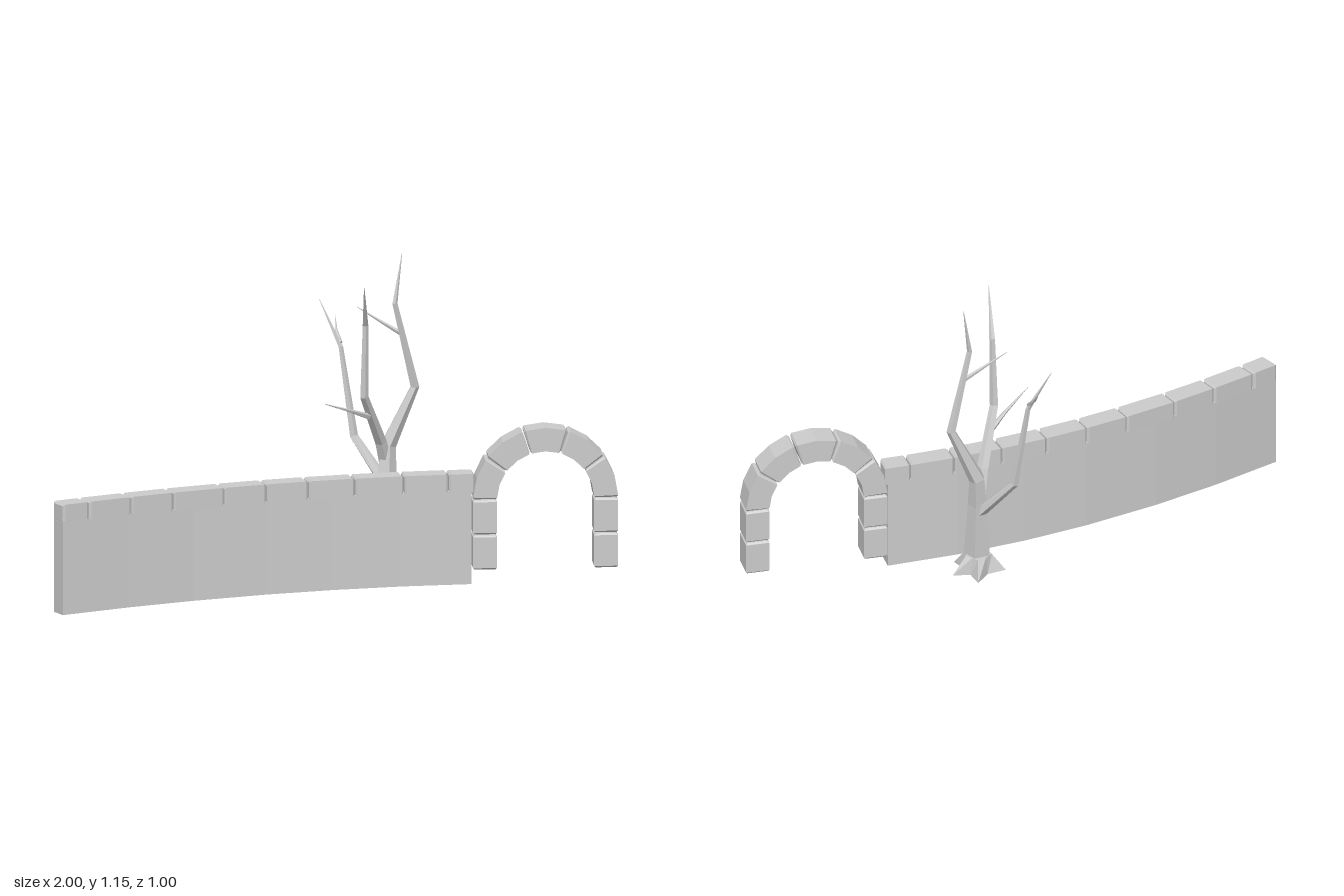
import * as THREE from 'three';

const V = (x, y, z) => new THREE.Vector3(x, y, z);
const UP = V(0, 1, 0);
const material = new THREE.MeshStandardMaterial({ color: 0xcccccc, flatShading: true });

// Skin a list of equal-sized rings and close both ends
function loft(name, rings) {
  const n = rings[0].length, index = [];
  const pts = rings.flat();
  rings.forEach((_, r) => {
    if (r === rings.length - 1) return;
    for (let j = 0; j < n; j++) {
      const a = r * n + j, b = r * n + (j + 1) % n;
      index.push(a, b, b + n, a, b + n, a + n);
    }
  });
  const centre = ring => ring.reduce((s, p) => s.add(p), V(0, 0, 0)).divideScalar(n);
  const last = (rings.length - 1) * n, c0 = pts.length;
  pts.push(centre(rings[0]), centre(rings[rings.length - 1]));
  for (let j = 0; j < n; j++) {
    const k = (j + 1) % n;
    index.push(c0, k, j, c0 + 1, last + j, last + k);
  }
  const geo = new THREE.BufferGeometry().setFromPoints(pts);
  geo.setIndex(index);
  const flat = geo.toNonIndexed();
  flat.computeVertexNormals();
  const mesh = new THREE.Mesh(flat, material);
  mesh.name = name;
  return mesh;
}

// Rectangle across a path: b is one cross axis, the other follows from the tangent
function rectRing({ p, t }, b, halfN, halfB) {
  const n = b.clone().cross(t);
  return [[-1, -1], [1, -1], [1, 1], [-1, 1]].map(([i, j]) =>
    p.clone().addScaledVector(n, i * halfN).addScaledVector(b, j * halfB));
}

// Stone that follows a path from s0 to s1, with chamfered ends
function stone(name, path, s0, s1, b, halfN, halfB, steps) {
  const gap = 0.002, c = 0.006, rings = [];
  const add = (s, inset) => rings.push(rectRing(path(s), b, halfN - inset, halfB - inset));
  add(s0 + gap, c);
  for (let i = 0; i <= steps; i++) {
    add(THREE.MathUtils.lerp(s0 + gap + c, s1 - gap - c, i / steps), 0);
  }
  add(s1 - gap, c);
  return loft(name, rings);
}

// Gently curving ground line of the wall, by x
const wallPath = y => x => ({
  p: V(x, y, 0.47 - 0.507 * (x + 0.98) + 0.1615 * (x + 0.98) * (x + 0.26)),
  t: V(1, 0, -0.507 + 0.1615 * (2 * x + 1.24)).normalize(),
});

// Up one leg, over the half circle and down the other, by distance
const R = 0.217, FOOT = 0.05, SPRING = 0.307, LEG = SPRING - FOOT, ARC = Math.PI * R;
function archPath(s) {
  if (s <= LEG) return { p: V(-R, FOOT + s, 0), t: V(0, 1, 0) };
  if (s >= LEG + ARC) return { p: V(R, SPRING - (s - LEG - ARC), 0), t: V(0, -1, 0) };
  const a = Math.PI - (s - LEG) / R;
  return { p: V(R * Math.cos(a), SPRING + R * Math.sin(a), 0), t: V(Math.sin(a), -Math.cos(a), 0) };
}

// Tapering five-sided limb through nodes [x, y, z, radius]
function limb(name, nodes) {
  const pts = nodes.map(n => V(n[0], n[1], n[2]));
  return loft(name, nodes.map((node, i) => {
    const t = pts[Math.min(i + 1, pts.length - 1)].clone().sub(pts[Math.max(i - 1, 0)]).normalize();
    const n = V(1, 0, 0).addScaledVector(t, -t.x).normalize();
    const b = t.clone().cross(n);
    return [0, 1, 2, 3, 4].map(k => {
      const a = k / 5 * Math.PI * 2;
      return pts[i].clone().addScaledVector(n, node[3] * Math.cos(a)).addScaledVector(b, node[3] * Math.sin(a));
    });
  }));
}

function createModel() {
  const model = new THREE.Group();
  model.name = 'gardenWall';

  // Wall body
  const wallY = 0.17, body = wallPath(wallY);
  model.add(loft('wall', [-0.98, -0.75, -0.52, -0.26, -0.03, 0.22, 0.473].map(x =>
    rectRing(body(x), UP, 0.0325, wallY))));

  // Coping stones
  const coping = new THREE.Group();
  coping.name = 'copingStones';
  const joints = [-0.982, -0.89, -0.74, -0.59, -0.41, -0.26, -0.11, 0.055, 0.23, 0.39, 0.485];
  for (let i = 0; i < joints.length - 1; i++) {
    coping.add(stone('copingStone', wallPath(0.37), joints[i], joints[i + 1], UP, 0.0375, 0.034, 1));
  }
  model.add(coping);

  // Arch: two blocks per leg and five wedge stones
  const arch = new THREE.Group();
  arch.name = 'arch';
  const cuts = [0, LEG / 2];
  for (let i = 0; i <= 5; i++) cuts.push(LEG + ARC * i / 5);
  cuts.push(LEG * 1.5 + ARC, LEG * 2 + ARC);
  for (let i = 0; i < cuts.length - 1; i++) {
    const curved = i > 1 && i < 7;
    arch.add(stone(curved ? 'wedgeStone' : 'legStone', archPath, cuts[i], cuts[i + 1],
      V(0, 0, 1), 0.043, 0.047, curved ? 2 : 1));
  }
  arch.position.set(0.736, 0, -0.138);
  arch.rotation.y = 0.122;
  model.add(arch);

  // Bare tree
  const tree = new THREE.Group();
  tree.name = 'tree';
  const limbs = {
    trunk: [[0.165, 0.07, -0.29, 0.052], [0.165, 0.125, -0.29, 0.05], [0.165, 0.34, -0.305, 0.037],
      [0.17, 0.45, -0.32, 0.03], [0.265, 0.66, -0.335, 0.017], [0.195, 0.97, -0.305, 0.01], [0.22, 1.15, -0.33, 0.001]],
    frontBranch: [[0.16, 0.39, -0.315, 0.025], [0.145, 0.47, -0.285, 0.022], [0.09, 0.66, -0.165, 0.016],
      [0.095, 0.925, -0.15, 0.011], [0.095, 1.085, -0.043, 0.001]],
    backBranch: [[0.16, 0.31, -0.315, 0.022], [0.045, 0.465, -0.395, 0.016],
      [-0.002, 0.785, -0.418, 0.009], [-0.08, 0.95, -0.46, 0.001]],
    frontTwig: [[0.105, 0.58, -0.2, 0.012], [0.05, 0.61, -0.14, 0.007], [-0.045, 0.657, -0.05, 0.001]],
    topTwig: [[0.215, 0.86, -0.315, 0.009], [0.15, 0.9, -0.31, 0.006], [0.06, 0.957, -0.305, 0.001]],
    backTwig: [[-0.002, 0.8, -0.42, 0.007], [-0.02, 0.84, -0.46, 0.005], [-0.025, 0.88, -0.505, 0.001]],
  };
  for (const [name, nodes] of Object.entries(limbs)) tree.add(limb(name, nodes));

  // Star-shaped root flare; angles run clockwise from above
  const roots = [190, 115, 38, -20, -84];
  const foot = [], collar = [];
  const at = (deg, r, y) => {
    const a = THREE.MathUtils.degToRad(deg);
    return V(0.165 + r * Math.cos(a), y, -0.3 + r * Math.sin(a));
  };
  roots.forEach((deg, i) => {
    const next = i < 4 ? roots[i + 1] : roots[0] - 360;
    const mid = (deg + next) / 2;
    foot.push(at(deg, 0.1, 0.065), at(mid, 0.05, 0.065));
    collar.push(at(deg, 0.05, 0.13), at(mid, 0.042, 0.13));
  });
  tree.add(loft('rootFlare', [foot, collar]));
  model.add(tree);

  return model;
}

export { createModel };
